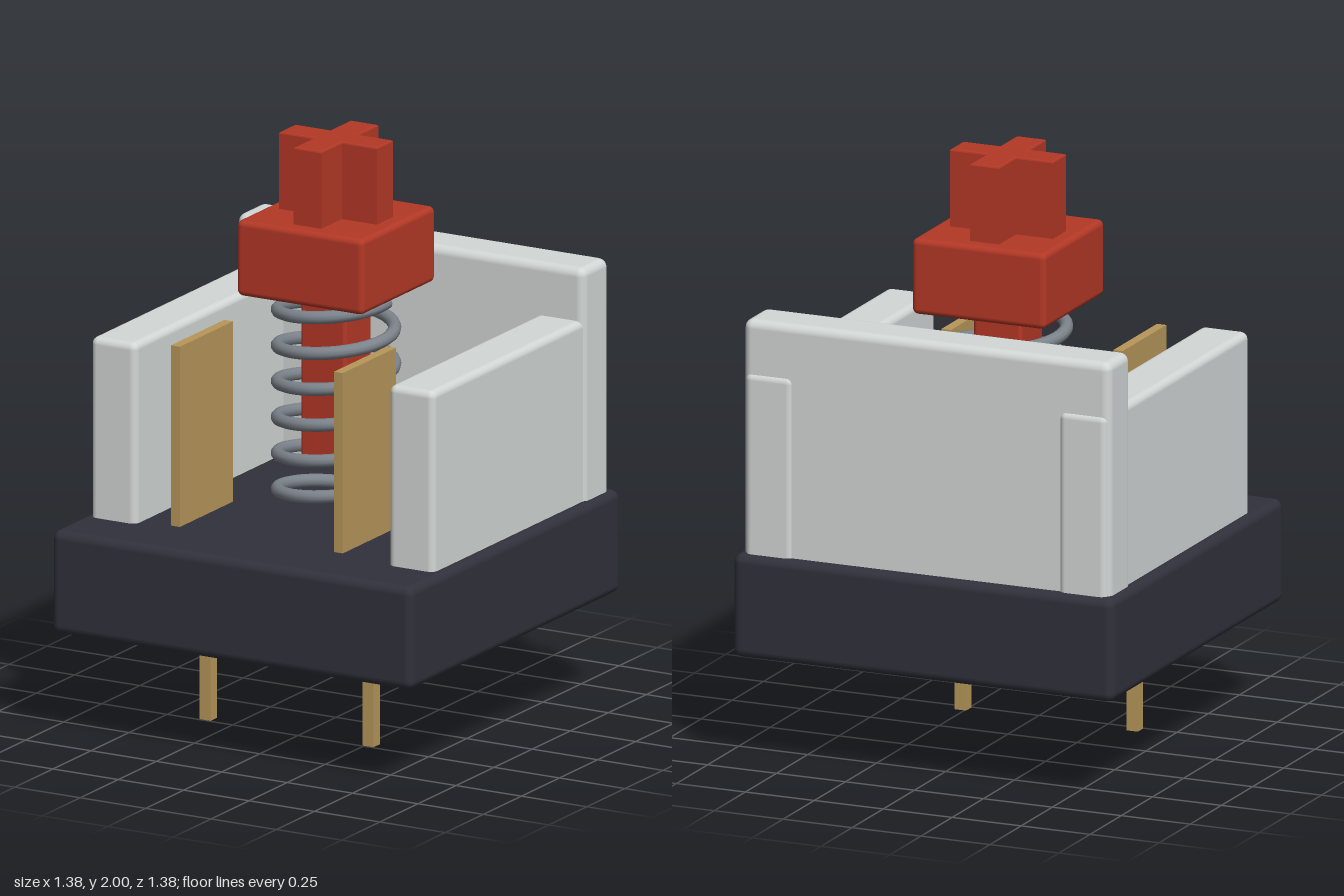
import * as THREE from 'three';
import { RoundedBoxGeometry } from 'three/addons/geometries/RoundedBoxGeometry.js';

const material = (name, color) => {
  const m = new THREE.MeshStandardMaterial({ color });
  m.name = name;
  return m;
};

export function createModel() {
  const group = new THREE.Group();
  const charcoal = material('charcoal', 0x30313b);
  const paleGrey = material('paleGrey', 0xd3d7d6);
  const red = material('red', 0xb43826);
  const brass = material('brass', 0xb8975a);
  const steel = material('steel', 0x7c838b);

  const add = (name, geometry, mat) => {
    const mesh = new THREE.Mesh(geometry, mat);
    mesh.name = name;
    group.add(mesh);
    return mesh;
  };
  // Box given by its extents on each axis, rounded when a radius is set
  const box = (name, mat, [x0, x1], [y0, y1], [z0, z1], radius = 0) => {
    const size = [x1 - x0, y1 - y0, z1 - z0];
    const geometry = radius
      ? new RoundedBoxGeometry(...size, 3, radius)
      : new THREE.BoxGeometry(...size);
    add(name, geometry, mat).position.set((x0 + x1) / 2, (y0 + y1) / 2, (z0 + z1) / 2);
  };

  // Base and housing walls
  box('base', charcoal, [-0.69, 0.69], [0.36, 0.715], [-0.69, 0.69], 0.03);
  box('backWall', paleGrey, [-0.665, 0.665], [0.6, 1.515], [-0.656, -0.484], 0.03);
  box('leftWall', paleGrey, [0.482, 0.657], [0.6, 1.335], [-0.665, 0.487], 0.025);
  box('rightWall', paleGrey, [-0.657, -0.482], [0.6, 1.335], [-0.665, 0.487], 0.025);

  // Contact leaves above the base, pins below it
  for (const [side, x] of [['right', -0.358], ['left', 0.265]]) {
    box(side + 'ContactLeaf', brass, [x - 0.017, x + 0.017], [0.66, 1.335], [0.09, 0.44]);
    box(side + 'Pin', brass, [x - 0.021, x + 0.021], [0, 0.4], [0.203, 0.245]);
  }

  // Plunger: shaft, block and cross-shaped top
  box('plungerShaft', red, [-0.088, 0.088], [0.895, 1.5], [-0.088, 0.088], 0.015);
  box('plungerBlock', red, [-0.242, 0.242], [1.475, 1.735], [-0.242, 0.242], 0.02);

  const bevel = 0.006, a = 0.187 - bevel, b = 0.053 - bevel;
  const cross = new THREE.Shape([
    [b, a], [-b, a], [-b, b], [-a, b], [-a, -b], [-b, -b],
    [-b, -a], [b, -a], [b, -b], [a, -b], [a, b], [b, b],
  ].map(([x, y]) => new THREE.Vector2(x, y)));
  const crossGeometry = new THREE.ExtrudeGeometry(cross, {
    depth: 0.288 - 2 * bevel, bevelEnabled: true,
    bevelSize: bevel, bevelThickness: bevel, bevelSegments: 2,
  });
  crossGeometry.rotateX(-Math.PI / 2);
  add('plungerCross', crossGeometry, red).position.y = 1.712 + bevel;

  // Coil spring
  const turns = 6, coilRadius = 0.194, wireRadius = 0.022;
  class Helix extends THREE.Curve {
    getPoint(t, target = new THREE.Vector3()) {
      const angle = t * turns * Math.PI * 2;
      return target.set(coilRadius * Math.cos(angle), 0.715 + 0.74 * t, -coilRadius * Math.sin(angle));
    }
  }
  const helix = new Helix();
  add('spring', new THREE.TubeGeometry(helix, 288, wireRadius, 10), steel);
  for (const t of [0, 1]) {
    const cap = add('springEnd', new THREE.CircleGeometry(wireRadius, 10), steel);
    const end = helix.getPoint(t);
    cap.position.copy(end);
    cap.lookAt(end.clone().addScaledVector(helix.getTangent(t), t ? 1 : -1));
  }

  return group;
}
